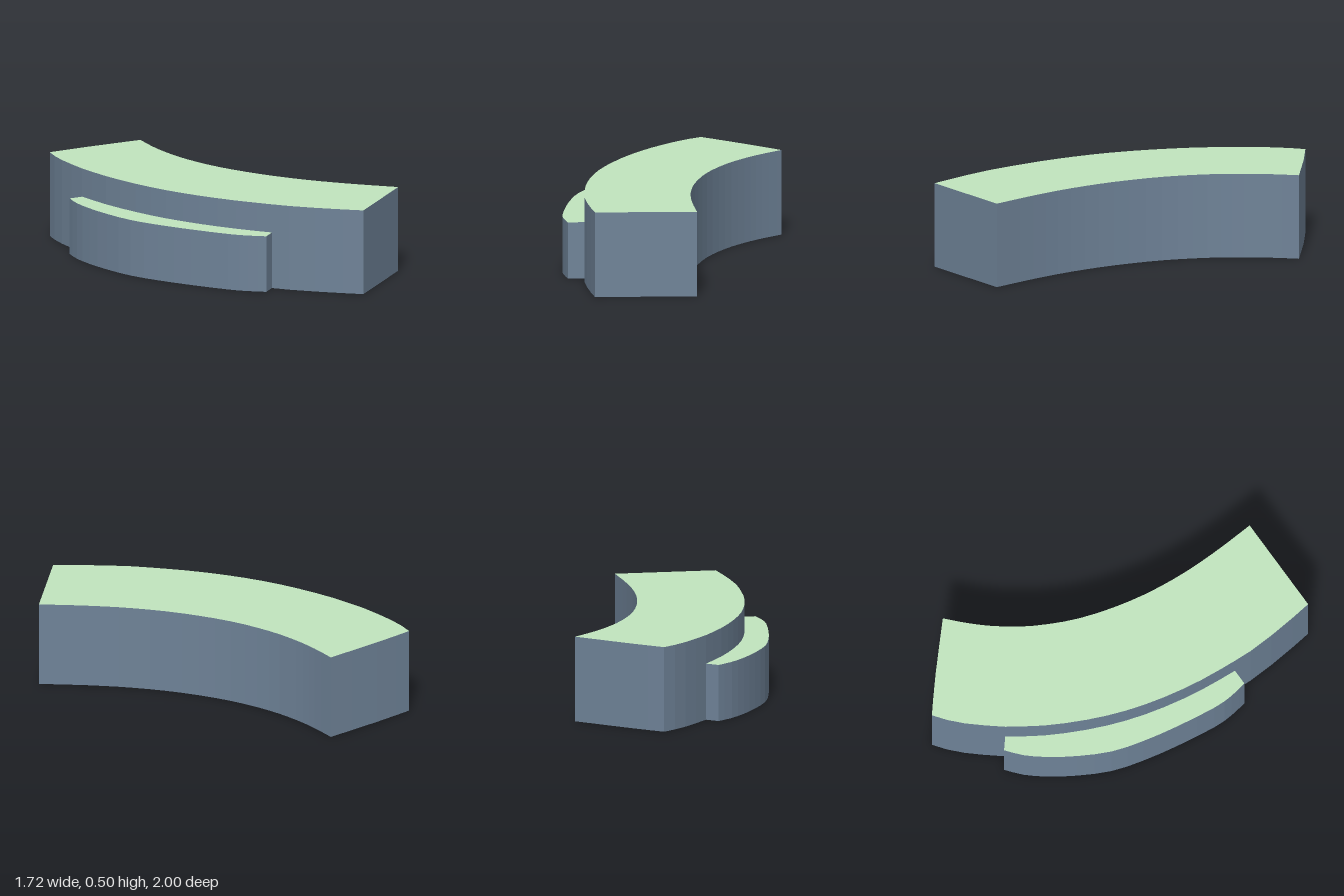
import * as THREE from 'three';

const material = (name, color) => {
  const m = new THREE.MeshStandardMaterial({ color });
  m.name = name;
  return m;
};

// Smooth a plan curve given as [x, z] pairs
const smooth = (pairs, n) =>
  new THREE.SplineCurve(pairs.map(([x, z]) => new THREE.Vector2(x, -z))).getPoints(n);

// Raise a plan outline into a block: pale grey underside, green top, slate walls
function block(name, outline, height, materials) {
  const geometry = new THREE.ExtrudeGeometry(new THREE.Shape(outline), {
    depth: height, bevelEnabled: false, steps: 1,
  });
  const [caps, walls] = geometry.groups.map((g) => ({ ...g }));
  geometry.clearGroups();
  geometry.addGroup(0, caps.count / 2, 0);
  geometry.addGroup(caps.count / 2, caps.count / 2, 1);
  geometry.addGroup(walls.start, walls.count, 2);
  geometry.rotateX(-Math.PI / 2);
  const mesh = new THREE.Mesh(geometry, materials);
  mesh.name = name;
  return mesh;
}

export function createModel() {
  const group = new THREE.Group();
  group.name = 'curvedBuilding';
  const materials = [
    material('underside pale grey', 0xdddddd),
    material('roof green', 0xc1e4be),
    material('wall slate', 0x6e8297),
  ];

  // Concave back wall of the tall wing, from the far end to the near end
  const inner = smooth([
    [-0.255, -1], [-0.235, -0.84], [-0.2, -0.68], [-0.13, -0.48], [0, -0.24],
    [0.19, 0], [0.4, 0.2], [0.62, 0.365], [0.862, 0.52],
  ], 24);

  // Convex front wall, split where the low wing meets it
  const nearEnd = smooth([[0.505, 1], [0.35, 0.915], [0.16, 0.8], [0.035, 0.705]], 4);
  const contact = smooth([
    [0.035, 0.705], [-0.14, 0.557], [-0.31, 0.385], [-0.46, 0.2],
    [-0.587, 0], [-0.7, -0.225], [-0.78, -0.44],
  ], 12);
  const farEnd = smooth([[-0.78, -0.44], [-0.82, -0.6], [-0.845, -0.74], [-0.848, -0.87]], 4);
  const endWall = smooth([[-0.848, -0.87], [-0.6, -0.93], [-0.255, -1]], 4);

  group.add(block('tallWing', [
    ...inner, ...nearEnd, ...contact.slice(1), ...farEnd.slice(1), ...endWall.slice(1, -1),
  ], 0.505, materials));

  // Low wing wrapped around the convex front
  const lowFront = smooth([
    [-0.023, 0.783], [-0.12, 0.735], [-0.22, 0.665], [-0.4, 0.495], [-0.55, 0.335],
    [-0.67, 0.18], [-0.76, 0], [-0.82, -0.16], [-0.855, -0.3], [-0.862, -0.42],
  ], 18);
  group.add(block('lowWing', [...lowFront, ...contact.slice().reverse()], 0.335, materials));

  return group;
}
